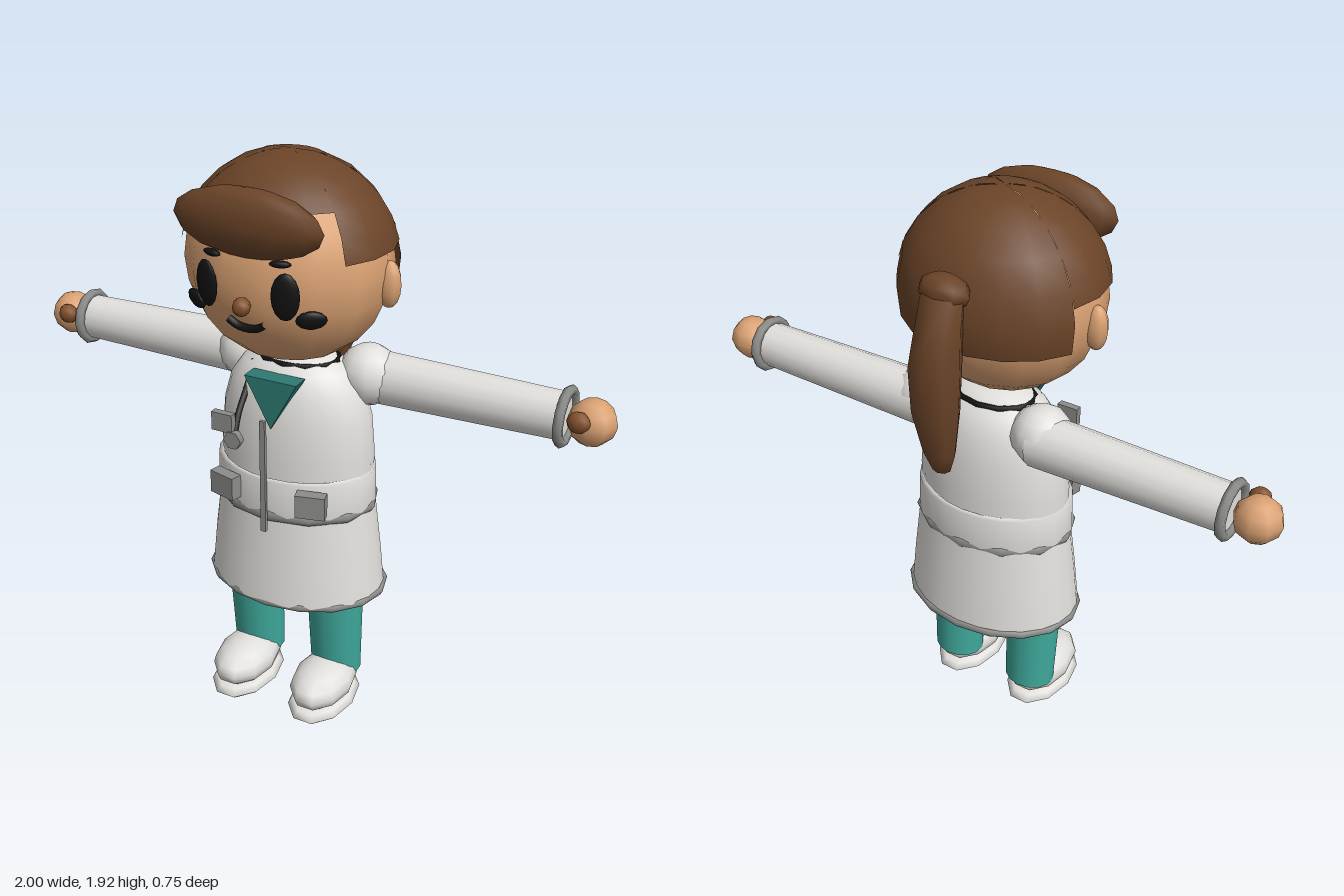
import * as THREE from 'three';

const mat = (name, color, side = THREE.FrontSide) => {
  const m = new THREE.MeshStandardMaterial({ color, side });
  m.name = name;
  return m;
};

export function createModel() {
  const skin = mat('skin', 0xdba273);
  const hair = mat('hair brown', 0x6b4428, THREE.DoubleSide);
  const tan = mat('dark tan', 0x85522f);
  const white = mat('coat white', 0xe2e0dc, THREE.DoubleSide);
  const grey = mat('trim grey', 0x8c8c8a);
  const teal = mat('trouser teal', 0x3fa99c);
  const darkTeal = mat('shirt teal', 0x2c7a72);
  const black = mat('black', 0x111111);

  const model = new THREE.Group();
  const add = (name, geo, m, pos = [0, 0, 0], scale = [1, 1, 1], rot = [0, 0, 0]) => {
    const mesh = new THREE.Mesh(geo, m);
    mesh.name = name;
    mesh.position.set(...pos);
    mesh.scale.set(...scale);
    mesh.rotation.set(...rot);
    model.add(mesh);
    return mesh;
  };
  const ball = (name, m, pos, scale, w = 12, h = 8, rot) =>
    add(name, new THREE.SphereGeometry(1, w, h), m, pos, scale, rot);
  // horizontal ring, squashed in depth
  const ring = (name, m, r, tube, seg, pos, depth, sides = 6) =>
    add(name, new THREE.TorusGeometry(r, tube, sides, seg).rotateX(Math.PI / 2), m, pos, [1, 1, depth]);
  // lathe from [radius, y] pairs, squashed in depth
  const lathe = (name, m, pts, z, depth, seg = 24) =>
    add(name, new THREE.LatheGeometry(pts.map(p => new THREE.Vector2(...p)), seg), m, [0, 0, z], [1, 1, depth]);
  const tube = (name, m, pts, r, n = 10) =>
    add(name, new THREE.TubeGeometry(new THREE.CatmullRomCurve3(pts.map(p => new THREE.Vector3(...p))), n, r, 6), m);

  // Head and ears
  const HY = 1.585, HZ = 0.06;
  ball('head', skin, [0, HY, HZ], [0.325, 0.31, 0.28], 14, 12);
  for (const s of [-1, 1]) ball('ear', skin, [s * 0.322, 1.555, 0.05], [0.038, 0.073, 0.034], 8, 8);

  // Hair cap in sectors of differing length: front, sides, back
  const deg = Math.PI / 180;
  const sectors = [[36, 108, 0.9, 6], [144, 59, 1.36, 3], [203, 134, 1.81, 7], [337, 59, 1.36, 3]];
  for (const [start, len, drop, seg] of sectors) {
    add('hairCap', new THREE.SphereGeometry(1, seg, 6, start * deg, len * deg, 0, drop),
      hair, [0, 1.588, HZ], [0.338, 0.33, 0.3]);
  }
  ball('fringe', hair, [0, 1.765, 0.31], [0.24, 0.105, 0.062], 12, 8, [0.12, 0, 0]);

  // Ponytail lofted through oval rings: [y, z, half width, half depth]
  const tail = [[1.74, -0.235, 0.04, 0.02], [1.71, -0.26, 0.07, 0.05], [1.6, -0.285, 0.075, 0.065],
    [1.5, -0.305, 0.085, 0.07], [1.35, -0.308, 0.08, 0.062], [1.2, -0.295, 0.055, 0.042], [1.13, -0.285, 0.03, 0.026]];
  const verts = [], idx = [], N = 8;
  tail.forEach(([y, z, w, d], i) => {
    for (let j = 0; j < N; j++) {
      const a = j / N * Math.PI * 2;
      verts.push(w * Math.sin(a), y, z + d * Math.cos(a));
      const k = i * N + j, kn = i * N + (j + 1) % N;
      if (i < tail.length - 1) idx.push(k, k + N, kn, kn, k + N, kn + N);
    }
  });
  for (let j = 1; j < N - 1; j++) {
    const b = (tail.length - 1) * N;
    idx.push(0, j, j + 1, b, b + j + 1, b + j);
  }
  const tailGeo = new THREE.BufferGeometry();
  tailGeo.setAttribute('position', new THREE.Float32BufferAttribute(verts, 3));
  tailGeo.setIndex(idx);
  tailGeo.computeVertexNormals();
  add('ponytail', tailGeo, hair);
  ball('hairKnot', hair, [0, 1.715, -0.25], [0.085, 0.052, 0.055], 8, 6);

  // Face details laid on the head surface
  const faceZ = (x, y) => HZ + 0.28 * Math.sqrt(1 - (x / 0.325) ** 2 - ((y - HY) / 0.31) ** 2);
  const spot = (name, m, x, y, rx, ry) => {
    const z = faceZ(x, y);
    const n = new THREE.Vector3(x / 0.1056, (y - HY) / 0.0961, (z - HZ) / 0.0784).normalize();
    const mesh = ball(name, m, [x + n.x * 0.007, y + n.y * 0.007, z + n.z * 0.007], [rx, ry, 0.016], 14, 8);
    mesh.lookAt(mesh.position.clone().add(n));
  };
  for (const s of [-1, 1]) {
    spot('eye', black, s * 0.125, 1.573, 0.042, 0.072);
    spot('cheekSpot', black, s * 0.185, 1.502, 0.046, 0.03);
    spot('eyebrow', black, s * 0.108, 1.664, 0.032, 0.011);
  }
  ball('nose', tan, [0, 1.53, 0.35], [0.028, 0.028, 0.028], 8, 6);
  tube('mouth', black, [[-0.06, 1.476], [-0.035, 1.459], [0, 1.453], [0.035, 1.459], [0.06, 1.476]]
    .map(([x, y]) => [x, y, faceZ(x, y) + 0.004]), 0.012);

  // Coat: body, waistband, flared open skirt
  lathe('coatBody', white, [[0.258, 0.78], [0.262, 0.95], [0.25, 1.08], [0.225, 1.17], [0.18, 1.235], [0.1, 1.28], [0.001, 1.29]], 0.008, 0.69);
  lathe('waistband', white, [[0.256, 0.77], [0.272, 0.78], [0.268, 0.9], [0.25, 0.905]], 0.014, 0.765);
  lathe('skirt', white, [[0.305, 0.455], [0.29, 0.6], [0.268, 0.775]], 0.008, 0.76);
  ring('hemTrim', grey, 0.302, 0.014, 16, [0, 0.455, 0.004], 0.755);
  ring('scallopedBelt', grey, 0.26, 0.021, 12, [0, 0.778, 0.014], 0.77);

  // Shirt triangle, front fastening, pockets and badge
  const vee = new THREE.Shape([[-0.09, 1.235], [0, 1.07], [0.09, 1.235]].map(p => new THREE.Vector2(...p)));
  add('shirtFront', new THREE.ExtrudeGeometry(vee, { depth: 0.06, bevelEnabled: false }), darkTeal, [0, 0, 0.13]);
  add('frontFastening', new THREE.BoxGeometry(0.018, 0.39, 0.012), grey, [0, 0.925, 0.238]);
  for (const s of [-1, 1]) add('pocket', new THREE.BoxGeometry(0.096, 0.078, 0.04), grey, [s * 0.153, 0.85, 0.212], [1, 1, 1], [0, s * 0.25, 0]);
  add('badge', new THREE.BoxGeometry(0.072, 0.062, 0.024), grey, [-0.138, 1.088, 0.24]);

  // Listening instrument: neck loop, cord and chest disc
  ring('neckLoop', black, 0.135, 0.012, 12, [0, 1.252, 0.006], 0.72);
  tube('cord', black, [[-0.115, 1.24, 0.08], [-0.113, 1.16, 0.14], [-0.108, 1.1, 0.2], [-0.1, 1.04, 0.24]], 0.011);
  add('chestDisc', new THREE.CylinderGeometry(0.031, 0.031, 0.024, 6).rotateX(Math.PI / 2), grey, [-0.1, 1.036, 0.245], [1, 1, 1], [0, 0, Math.PI / 6]);

  // Arms, legs and shoes, mirrored
  const AY = 1.193, AZ = -0.075;
  for (const s of [-1, 1]) {
    ball('shoulder', white, [s * 0.215, 1.203, -0.06], [0.1, 0.1, 0.098], 10, 8);
    add('sleeve', new THREE.CylinderGeometry(0.076, 0.088, 0.64, 14), white,
      [s * 0.525, AY, AZ], [1, 1, 0.93], [0, 0, -s * Math.PI / 2]);
    add('cuff', new THREE.TorusGeometry(0.081, 0.016, 6, 12).rotateY(Math.PI / 2), grey, [s * 0.845, AY, AZ]);
    ball('hand', skin, [s * 0.925, AY, AZ], [0.075, 0.073, 0.073], 8, 6);
    ball('thumb', tan, [s * 0.9, 1.215, -0.008], [0.036, 0.033, 0.028], 8, 6);

    add('trouserLeg', new THREE.CylinderGeometry(0.103, 0.088, 0.48, 14), teal,
      [s * 0.15, 0.35, 0.02], [1, 1, 0.89], [0.055, 0, 0]);
    ball('shoeUpper', white, [s * 0.15, 0.105, 0.1], [0.102, 0.075, 0.162], 10, 8);
    ball('shoeSole', white, [s * 0.15, 0.035, 0.098], [0.108, 0.034, 0.173], 10, 6);
  }
  return model;
}
